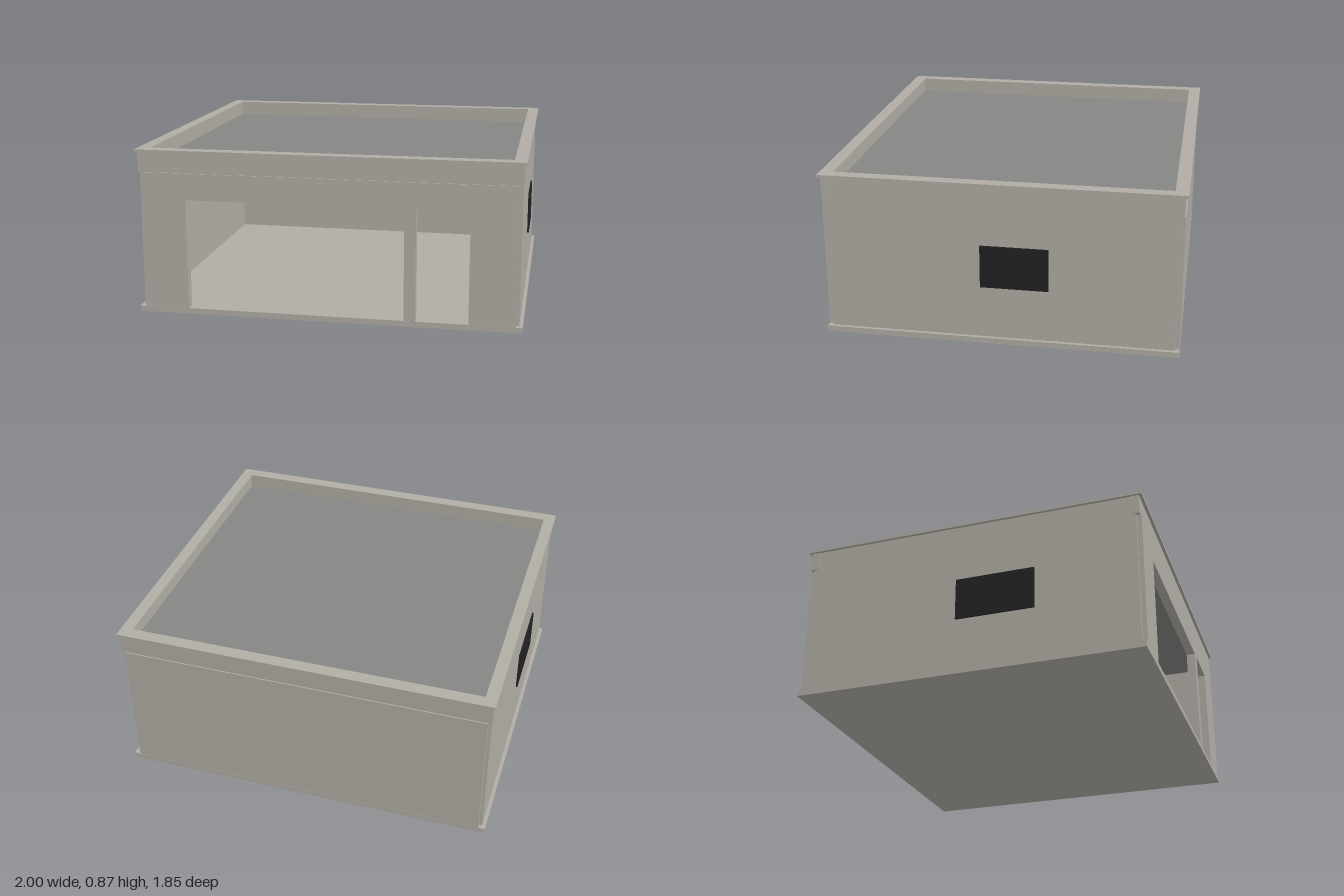
import * as THREE from 'three';

export function createModel() {
  const model = new THREE.Group();
  model.name = 'garageBuilding';

  const concrete = new THREE.MeshStandardMaterial({ color: 0xb1ada5 });
  concrete.name = 'warm grey concrete';
  const roofing = new THREE.MeshStandardMaterial({ color: 0x858583 });
  roofing.name = 'grey roofing';
  const glass = new THREE.MeshStandardMaterial({ color: 0x222222 });
  glass.name = 'dark window';

  const add = (name, geometry, material) => {
    const mesh = new THREE.Mesh(geometry, material);
    mesh.name = name;
    model.add(mesh);
    return mesh;
  };

  // Box given by its lower and upper limits on each axis
  const box = (name, material, [x0, x1], [y0, y1], [z0, z1]) => {
    const mesh = add(name, new THREE.BoxGeometry(x1 - x0, y1 - y0, z1 - z0), material);
    mesh.position.set((x0 + x1) / 2, (y0 + y1) / 2, (z0 + z1) / 2);
    return mesh;
  };

  const floorY = 0.03, bandY = 0.749, capY = 0.853, topY = 0.868;
  const innerX = 0.942, innerZ = 0.868;

  // Floor slab, projecting slightly as a plinth
  box('floorSlab', concrete, [-1, 1], [0, floorY], [-0.918, 0.918]);

  // Front wall with a wide vehicle opening and a narrow door opening
  const outline = [[-0.966, floorY]];
  for (const [a, b] of [[-0.733, 0.401], [0.46, 0.73]]) {
    outline.push([a, floorY], [a, 0.61], [b, 0.61], [b, floorY]);
  }
  outline.push([0.966, floorY], [0.966, bandY], [-0.966, bandY]);
  const frontShape = new THREE.Shape(outline.map(([x, y]) => new THREE.Vector2(x, y)));
  const frontGeometry = new THREE.ExtrudeGeometry(frontShape, { depth: 0.917 - innerZ, bevelEnabled: false });
  add('frontWall', frontGeometry, concrete).position.z = innerZ;

  // Plain back wall
  box('backWall', concrete, [-0.966, 0.966], [floorY, bandY], [-0.917, -innerZ]);

  // Side walls stop short of the corners, leaving small recesses
  box('leftWall', concrete, [innerX, 0.982], [floorY, capY], [-0.893, 0.893]);
  box('rightWall', concrete, [-0.982, -innerX], [floorY, capY], [-0.893, 0.893]);

  // Upper bands that close the corners above the recesses
  box('frontBand', concrete, [-0.986, 0.986], [bandY, capY], [innerZ, 0.911]);
  box('backBand', concrete, [-0.986, 0.986], [bandY, capY], [-0.911, -innerZ]);

  // Sunken flat roof inside the parapet
  box('roof', roofing, [-innerX, innerX], [0.75, 0.785], [-innerZ, innerZ]);

  // Parapet coping ring
  const rect = (Type, x, z) => new Type([[-x, -z], [x, -z], [x, z], [-x, z]]
    .map(([u, v]) => new THREE.Vector2(u, v)));
  const copingShape = rect(THREE.Shape, 0.997, 0.927);
  copingShape.holes.push(rect(THREE.Path, 0.934, 0.859));
  const copingGeometry = new THREE.ExtrudeGeometry(copingShape, { depth: topY - capY, bevelEnabled: false });
  copingGeometry.rotateX(-Math.PI / 2);
  add('parapetCoping', copingGeometry, concrete).position.y = capY;

  // Dark windows on the two side walls
  box('leftWindow', glass, [0.982, 0.991], [0.31, 0.536], [-0.25, 0.1]);
  box('rightWindow', glass, [-0.991, -0.982], [0.31, 0.536], [-0.06, 0.36]);

  return model;
}
